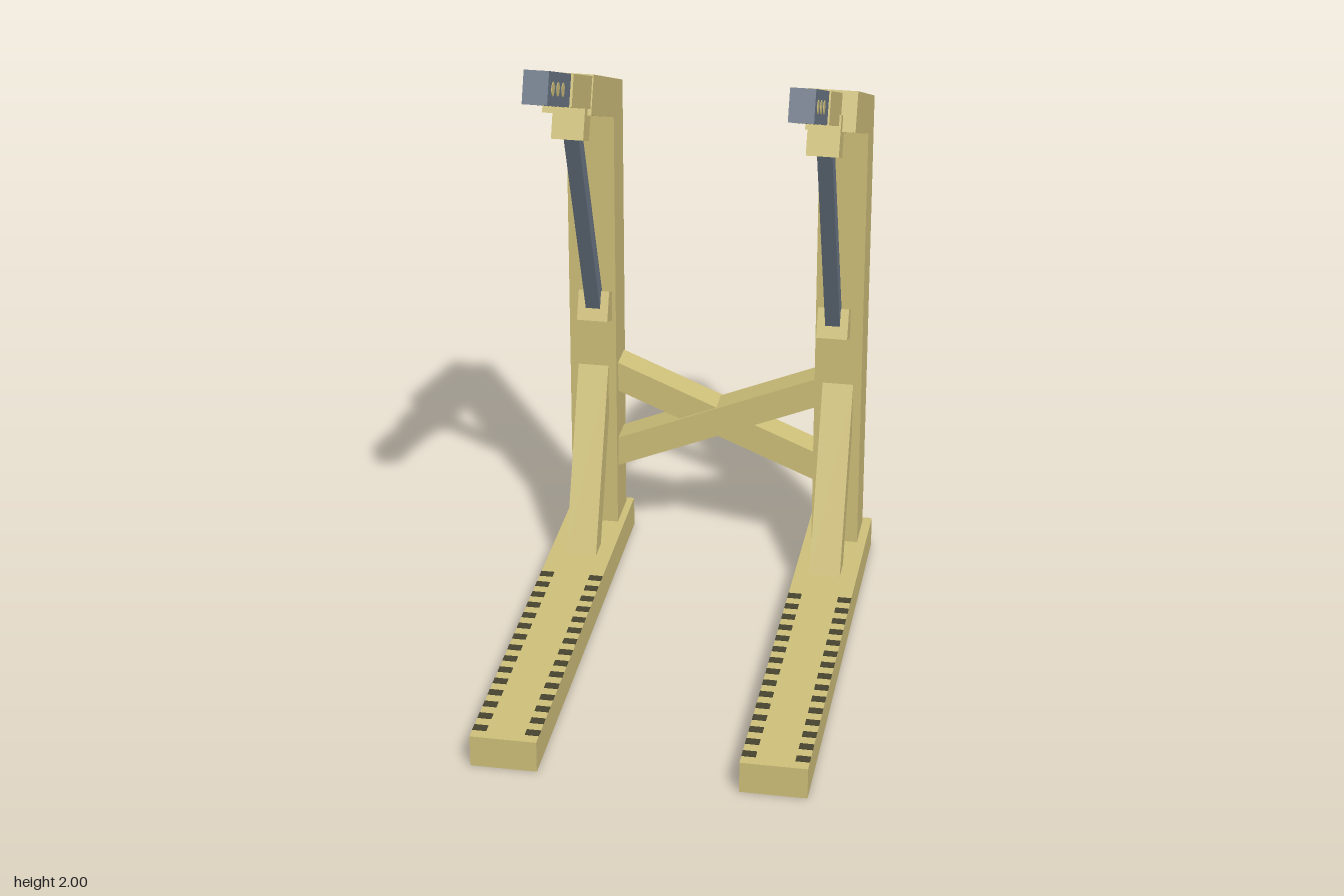
import * as THREE from 'three';

const TILT = Math.atan(0.4); // slope of the upper arms

function makeMaterial(name, color) {
  const m = new THREE.MeshStandardMaterial({ color });
  m.name = name;
  return m;
}

export function createModel() {
  const model = new THREE.Group();
  model.name = 'rackStand';
  const yellow = makeMaterial('sandYellow', 0xcfc07a);
  const slate = makeMaterial('slateGrey', 0x6b7786);
  const dark = makeMaterial('darkOlive', 0x47442f);

  function add(parent, name, geometry, material, x, y, z, tilt = 0) {
    const mesh = new THREE.Mesh(geometry, material);
    mesh.name = name;
    mesh.position.set(x, y, z);
    mesh.rotation.x = tilt;
    parent.add(mesh);
    return mesh;
  }

  const box = (w, h, d) => new THREE.BoxGeometry(w, h, d);

  // Extrude an outline of [across, up] points, centred on its depth
  function slab(points, depth) {
    const shape = new THREE.Shape(points.map(([a, b]) => new THREE.Vector2(a, b)));
    return new THREE.ExtrudeGeometry(shape, { depth, bevelEnabled: false }).translate(0, 0, -depth / 2);
  }
  // Same, with the outline given as [z, y] and the depth along x
  const sideSlab = (points, width) => slab(points, width).rotateY(-Math.PI / 2);

  for (const side of [1, -1]) {
    const frame = new THREE.Group();
    frame.name = side > 0 ? 'leftFrame' : 'rightFrame';
    model.add(frame);
    const x = side * 0.397;

    // Foot with rows of dark notches along both edges
    add(frame, 'foot', box(0.2, 0.1, 1.52), yellow, side * 0.4, 0.05, 0);
    for (let i = 0; i < 15; i++) {
      for (const edge of [-1, 1]) {
        add(frame, 'footNotch', box(0.042, 0.004, 0.029), dark,
          side * 0.4 + edge * 0.079, 0.1, -0.21 + i * 0.0657);
      }
    }

    // Upright post, mitred into the sloping sleeve
    add(frame, 'post', sideSlab(
      [[-0.735, 0.1], [-0.59, 0.1], [-0.59, 1.53], [-0.735, 1.6]], 0.15), yellow, x, 0, 0);
    add(frame, 'sleeve', sideSlab(
      [[-0.735, 1.6], [-0.59, 1.53], [-0.249, 1.667], [-0.296, 1.78]], 0.15), yellow, x, 0, 0);

    // Diagonal brace from foot to post
    add(frame, 'footBrace', sideSlab(
      [[-0.354, 0.1], [-0.59, 0.67], [-0.59, 0.49], [-0.434, 0.1]], 0.098), yellow, x, 0, 0);

    // Sliding arm with a slate tip and round pins
    const arm = new THREE.Group();
    arm.name = 'arm';
    arm.position.set(side * 0.376, 1.835, side > 0 ? -0.005 : -0.013);
    arm.rotation.x = -TILT;
    frame.add(arm);
    add(arm, 'armTube', box(0.1, 0.098, 0.42), yellow, 0, 0, -0.21);
    const tipX = side > 0 ? 0.008 : 0.006;
    add(arm, 'armTip', box(0.073, 0.097, 0.33), slate, tipX, 0, 0.147);
    for (const z of [0.107, 0.178, 0.248]) {
      const pin = new THREE.CylinderGeometry(0.021, 0.021, 0.076, 12).rotateZ(Math.PI / 2);
      add(arm, 'armPin', pin, yellow, tipX, 0, z);
    }

    // Support strut between two tilted brackets
    const sx = side * 0.383;
    add(frame, 'upperBracket', box(0.098, 0.125, 0.09), yellow, sx, 1.652, -0.25, -TILT);
    add(frame, 'lowerBracket', box(0.098, 0.096, 0.1), yellow, sx, 0.89, -0.575, -TILT);
    add(frame, 'strut', box(0.046, 0.79, 0.052), slate, sx, 1.275, -0.4, Math.atan(0.3 / 0.73));
  }

  // Crossed braces between the posts
  for (const side of [1, -1]) {
    const w = side * 0.325;
    add(model, 'crossBrace', slab(
      [[w, 0.67], [-w, 0.4], [-w, 0.3], [w, 0.57]], 0.1), yellow, 0, 0, side > 0 ? -0.66 : -0.67);
  }

  return model;
}
